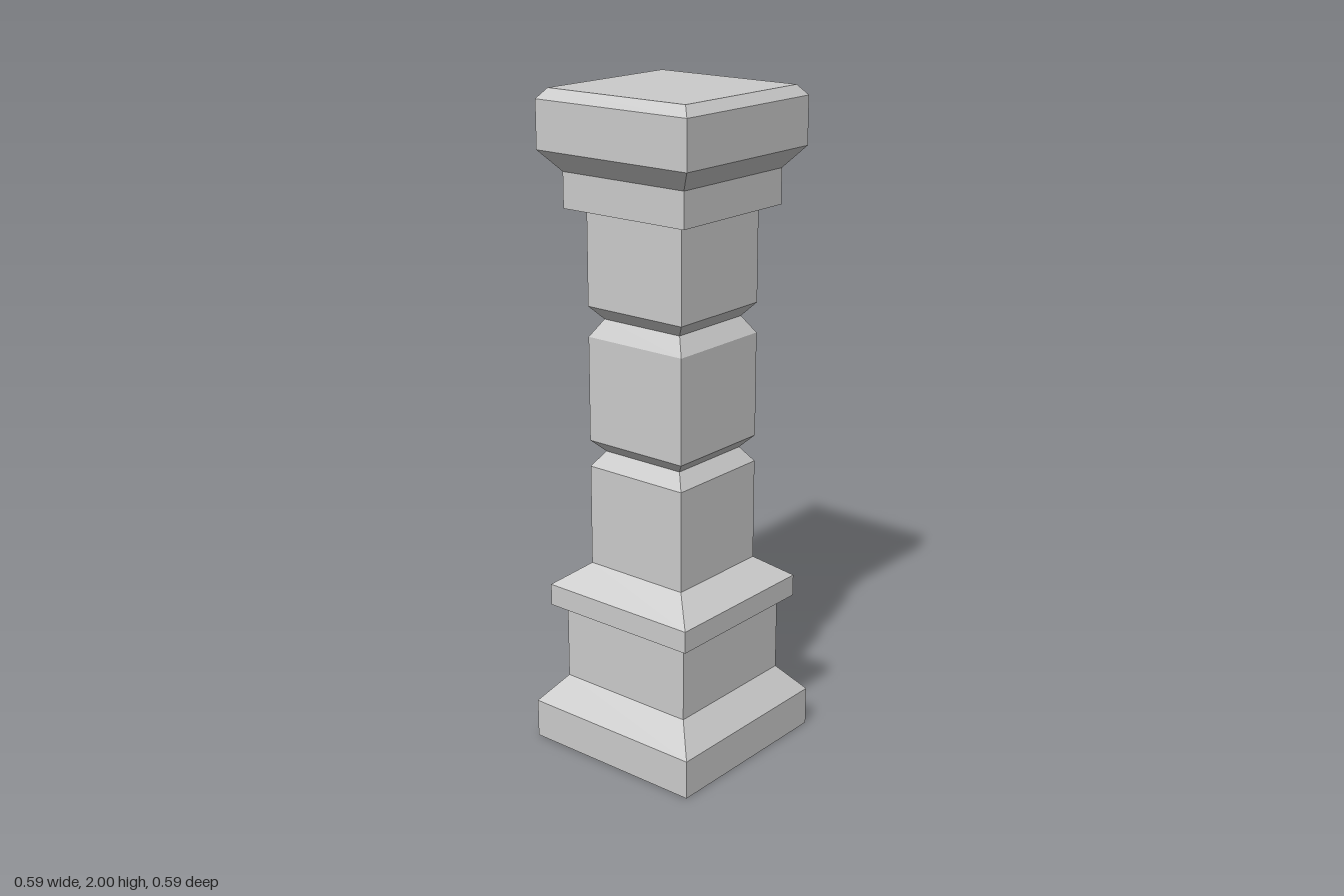
import * as THREE from 'three';

const material = new THREE.MeshStandardMaterial({ color: 0xcccccc, flatShading: true });

// Square section swept up a profile of [half width, height] points
function squareTurned(name, profile) {
  const points = profile.map(([half, y]) => new THREE.Vector2(half * Math.SQRT2, y));
  const mesh = new THREE.Mesh(new THREE.LatheGeometry(points, 4, Math.PI / 4), material);
  mesh.name = name;
  return mesh;
}

export function createModel() {
  const group = new THREE.Group();
  group.name = 'pillar';
  const shaft = 0.173, groove = 0.14;

  // Stepped base: foot, plinth and sloped ledge
  group.add(squareTurned('base', [
    [0, 0], [0.297, 0], [0.297, 0.12], [0.227, 0.204], [0.227, 0.443],
    [0.262, 0.443], [0.262, 0.51], [shaft, 0.577],
  ]));

  // Shaft with two V-shaped grooves: lower edge, deepest point, upper edge
  const profile = [[shaft, 0.577]];
  for (const [low, mid, high] of [[0.887, 0.933, 0.968], [1.285, 1.337, 1.376]]) {
    profile.push([shaft, low], [groove, mid], [shaft, high]);
  }
  profile.push([shaft, 1.662]);
  group.add(squareTurned('shaft', profile));

  // Capital: collar, flare and bevelled top slab
  group.add(squareTurned('capital', [
    [shaft, 1.662], [0.219, 1.662], [0.219, 1.767], [0.27, 1.829],
    [0.27, 1.97], [0.245, 2], [0, 2],
  ]));

  return group;
}
